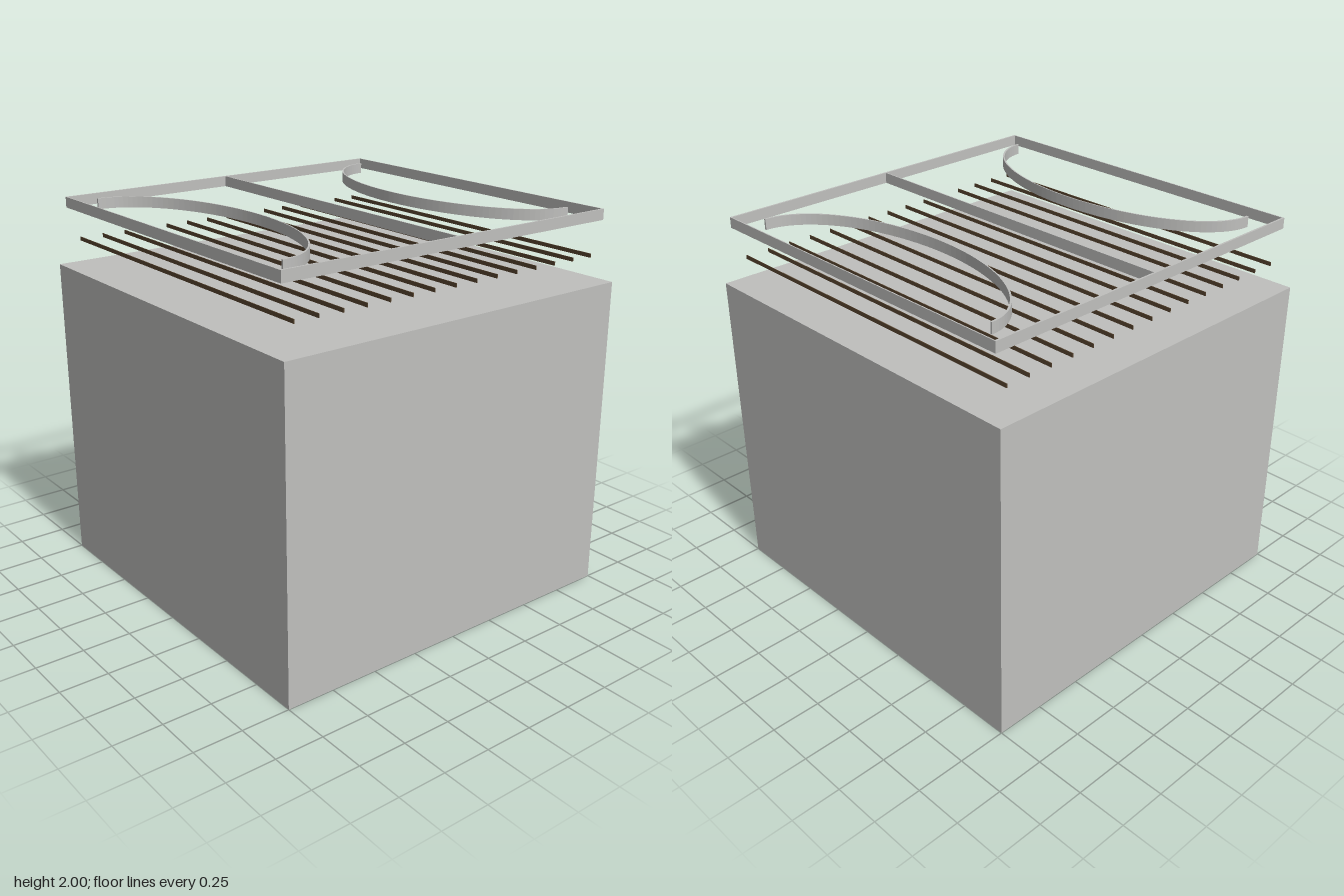
import * as THREE from 'three';

export function createModel() {
  const model = new THREE.Group();
  const grey = new THREE.MeshStandardMaterial({ name: 'light grey', color: 0xc0c0be });
  const brown = new THREE.MeshStandardMaterial({ name: 'dark brown', color: 0x5a4630 });

  function box(name, material, size, position) {
    const mesh = new THREE.Mesh(new THREE.BoxGeometry(...size), material);
    mesh.name = name;
    mesh.position.set(...position);
    model.add(mesh);
  }

  // solid base block
  box('baseBlock', grey, [2, 1.64, 2], [0, 0.82, 0]);

  // row of thin upright slats floating above the block
  for (let i = -7; i <= 7; i++) {
    box('slat', brown, [0.004, 0.02, 1.87], [i * 0.1288, 1.775, 0]);
  }

  // open rectangular frame with a middle bar
  const height = 0.055, top = 2, midY = top - height / 2;
  for (const side of [-1, 1]) {
    box('frameEndRail', grey, [1.935, height, 0.01], [0, midY, side * 0.935]);
    box('frameSideRail', grey, [0.006, height, 1.86], [side * 0.9645, midY, 0]);
  }
  box('frameMiddleBar', grey, [0.006, height, 1.86], [0, midY, 0]);

  // half-ellipse strips bulging towards the middle bar
  const arc = new THREE.Shape();
  arc.absellipse(0, 0, 0.433, 0.806, Math.PI / 2, Math.PI * 1.5, false, 0);
  arc.absellipse(0, 0, 0.427, 0.795, Math.PI * 1.5, Math.PI / 2, true, 0);
  arc.closePath();
  const arcGeometry = new THREE.ExtrudeGeometry(arc, { depth: height, bevelEnabled: false, curveSegments: 32 });
  arcGeometry.rotateX(-Math.PI / 2);
  for (const side of [-1, 1]) {
    const strip = new THREE.Mesh(arcGeometry, grey);
    strip.name = side > 0 ? 'leftArc' : 'rightArc';
    strip.position.set(side * 0.86, top - height, 0);
    strip.rotation.y = side > 0 ? 0 : Math.PI;
    model.add(strip);
  }
  return model;
}
